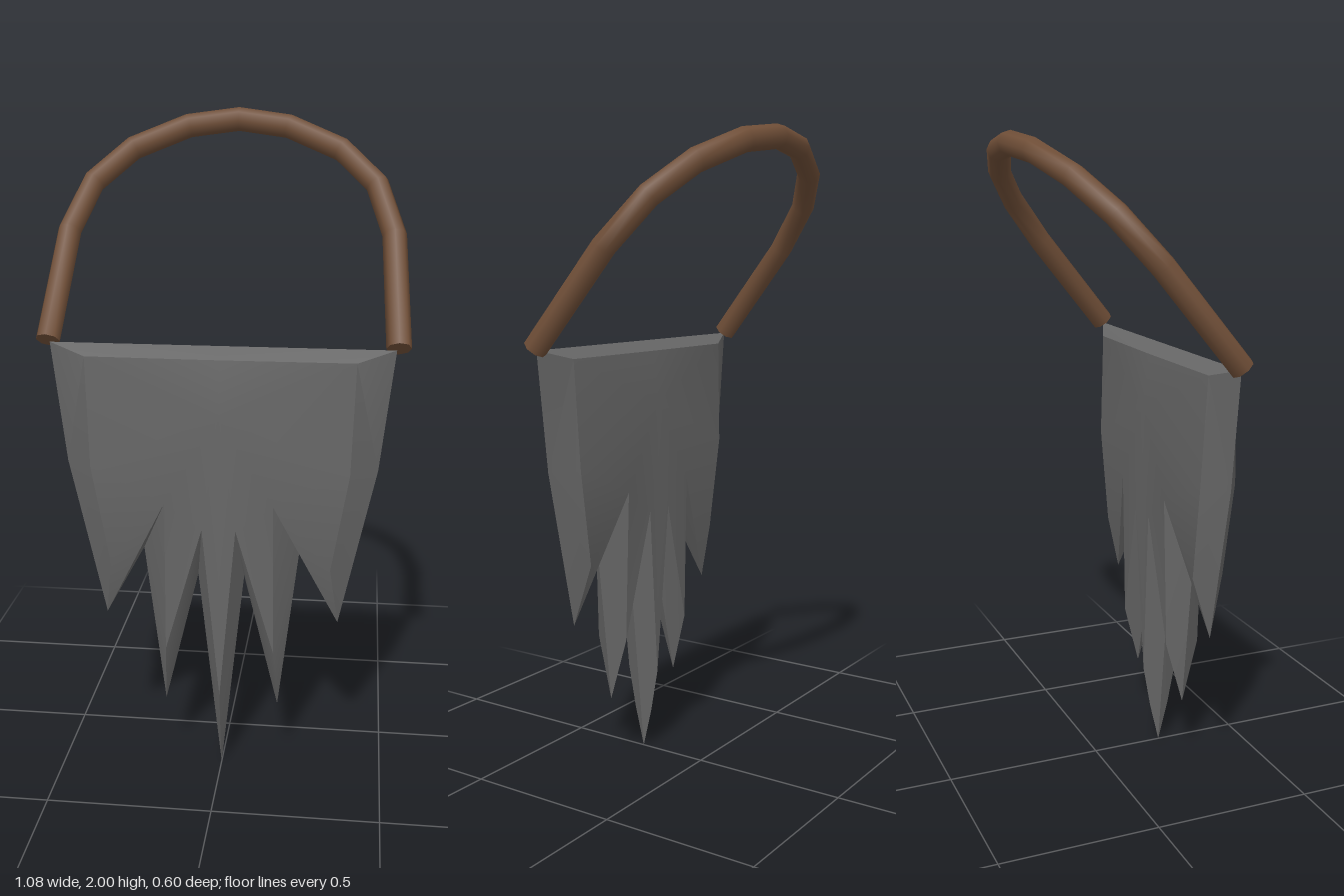
import * as THREE from 'three';
import { toCreasedNormals } from 'three/addons/utils/BufferGeometryUtils.js';

const BODY_Z = 0.23;

// Corners of one quarter of the blade: [x, y, half thickness]
const CORNERS = {
  topMid: [0, 1.36, 0], topEnd: [0.5, 1.36, 0], side: [0.46, 1.0, 0],
  tip1: [0.355, 0.51, 0], notch1: [0.235, 0.73, 0],
  tip2: [0.175, 0.22, 0], notch2: [0.07, 0.65, 0], tip3: [0, 0.0, 0],
  rimMid: [0, 1.33, 0.05], rimEnd: [0.39, 1.33, 0.045],
  centre: [0, 1.17, 0.07], shoulder: [0.38, 1.0, 0.057],
  apex1: [0.16, 0.9, 0.068], apex2: [0.05, 0.82, 0.07],
  ridge1: [0.33, 0.7, 0.05], ridge2: [0.165, 0.42, 0.055],
  ridge3: [0, 0.27, 0.058], point3: [0, 0.13, 0.032],
};

// Faces of that quarter, anticlockwise from the front
const FACES = [
  'rimMid rimEnd topEnd', 'rimMid topEnd topMid', 'rimEnd side topEnd', 'rimEnd shoulder side',
  'rimMid centre rimEnd', 'centre shoulder rimEnd', 'centre apex1 shoulder', 'centre apex2 apex1',
  // outer spike
  'apex1 ridge1 shoulder', 'shoulder ridge1 side', 'ridge1 tip1 side', 'apex1 tip1 ridge1', 'apex1 notch1 tip1',
  // second spike
  'apex2 ridge2 apex1', 'apex1 ridge2 notch1', 'ridge2 tip2 notch1', 'apex2 tip2 ridge2', 'apex2 notch2 tip2',
  // half of the middle spike
  'centre ridge3 apex2', 'apex2 ridge3 notch2', 'ridge3 point3 notch2', 'point3 tip3 notch2',
];

// Mirrors the quarter left to right and front to back
function bladeGeometry() {
  const positions = [];
  for (const sx of [1, -1]) {
    for (const sz of [1, -1]) {
      for (const face of FACES) {
        const names = face.split(' ');
        if (sx * sz < 0) names.reverse();
        for (const name of names) {
          const [x, y, z] = CORNERS[name];
          positions.push(sx * x, y, BODY_Z + sz * z);
        }
      }
    }
  }
  const geometry = new THREE.BufferGeometry();
  geometry.setAttribute('position', new THREE.Float32BufferAttribute(positions, 3));
  return toCreasedNormals(geometry, 0.5);
}

// Mitred tube along a bent arch that leans backwards
function handleGeometry(radius, sides) {
  const half = [[0.505, 1.365], [0.485, 1.65], [0.43, 1.785], [0.32, 1.88], [0.155, 1.945]];
  const outline = [...half, [0, 1.965], ...half.map(([x, y]) => [-x, y]).reverse()];
  const path = outline.map(([x, y]) => new THREE.Vector3(x, y, BODY_Z - (y - 1.365) * 0.825));
  const normal = new THREE.Vector3(0, 0.825, 1).normalize();
  const last = path.length - 1;
  const positions = [];
  const index = [];
  path.forEach((p, i) => {
    const tangent = path[Math.min(i + 1, last)].clone().sub(path[Math.max(i - 1, 0)]).normalize();
    const across = new THREE.Vector3().crossVectors(normal, tangent);
    for (let k = 0; k < sides; k++) {
      const a = (k / sides) * Math.PI * 2;
      const v = p.clone().addScaledVector(across, radius * Math.cos(a)).addScaledVector(normal, radius * Math.sin(a));
      positions.push(v.x, v.y, v.z);
    }
  });
  const start = positions.length / 3;
  positions.push(...path[0].toArray(), ...path[last].toArray());
  for (let k = 0; k < sides; k++) {
    const n = (k + 1) % sides;
    for (let i = 0; i < last; i++) {
      const a = i * sides + k, b = i * sides + n;
      // across x normal points against the tangent
      index.push(a, a + sides, b, b, a + sides, b + sides);
    }
    index.push(start, k, n, start + 1, last * sides + n, last * sides + k);
  }
  const geometry = new THREE.BufferGeometry();
  geometry.setAttribute('position', new THREE.Float32BufferAttribute(positions, 3));
  geometry.setIndex(index);
  // The ring order runs clockwise about the path, so turn each face outwards
  const probe = new THREE.Vector3().subVectors(path[1], path[0]);
  const across = new THREE.Vector3().crossVectors(normal, probe);
  if (new THREE.Vector3().crossVectors(across, normal).dot(probe) > 0) index.reverse();
  geometry.setIndex(index);
  return toCreasedNormals(geometry, 0.9);
}

export function createModel() {
  const group = new THREE.Group();
  const add = (name, geometry, color) => {
    const mesh = new THREE.Mesh(geometry, new THREE.MeshStandardMaterial({ color }));
    mesh.name = name;
    group.add(mesh);
  };
  add('spikedBlade', bladeGeometry(), 0x666666);
  add('handle', handleGeometry(0.036, 8), 0x6f4e37);
  return group;
}
